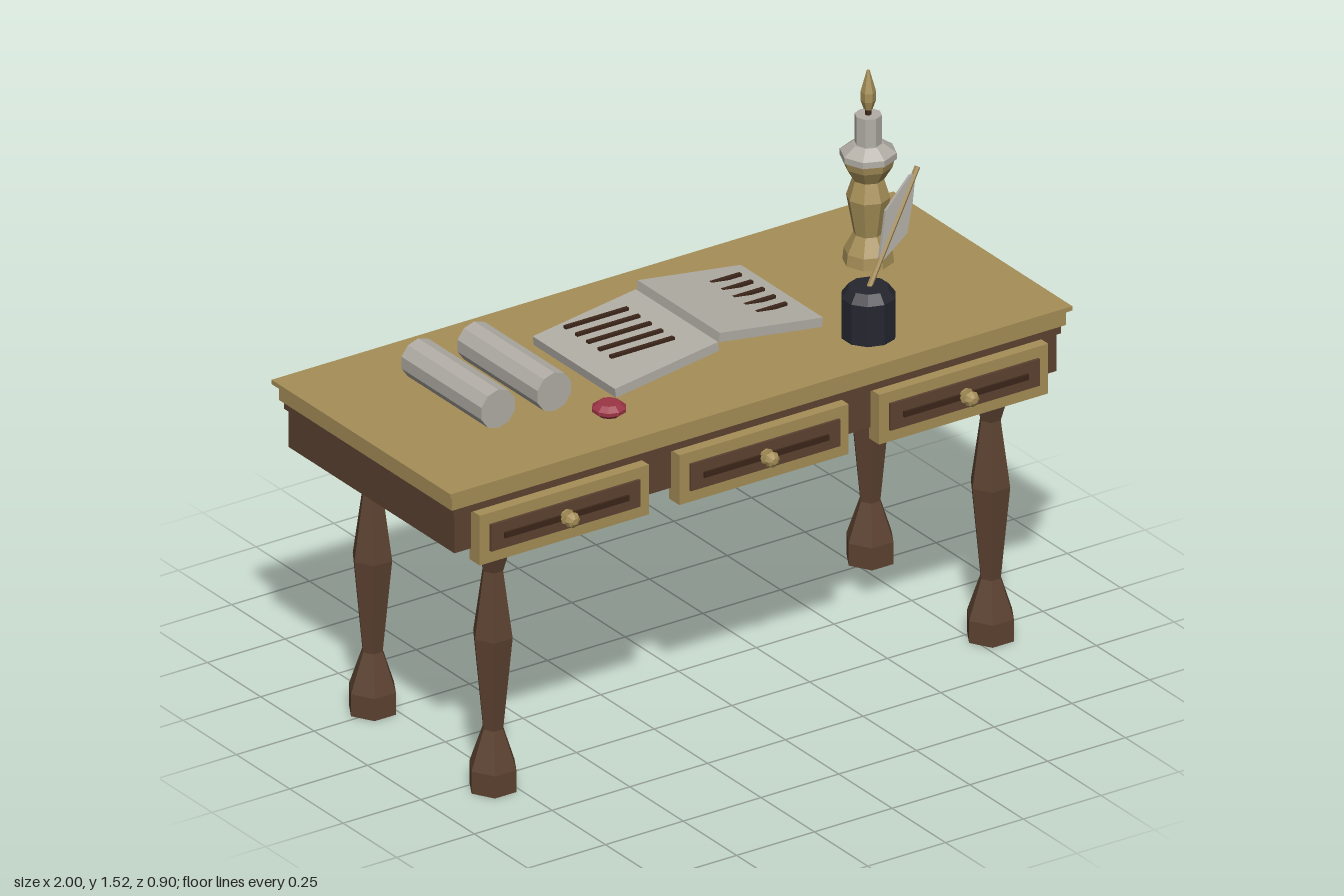
import * as THREE from 'three';

const mat = (name, color) => {
  const m = new THREE.MeshStandardMaterial({ color, flatShading: true });
  m.name = name;
  return m;
};

export function createModel() {
  const gold = mat('pale gold wood', 0xa68f58);
  const brown = mat('brown wood', 0x5c4231);
  const dark = mat('dark brown', 0x3c2619);
  const paper = mat('paper', 0xb2aea6);
  const ink = mat('ink black', 0x262630);
  const red = mat('sealing wax', 0x9c3546);

  const root = new THREE.Group();
  root.name = 'writingDesk';

  const add = (name, geo, material, x, y, z, parent = root) => {
    const m = new THREE.Mesh(geo, material);
    m.name = name;
    m.position.set(x, y, z);
    parent.add(m);
    return m;
  };
  // box given by its limits on each axis
  const box = (name, material, [x0, x1], [y0, y1], [z0, z1], parent) =>
    add(name, new THREE.BoxGeometry(x1 - x0, y1 - y0, z1 - z0), material,
      (x0 + x1) / 2, (y0 + y1) / 2, (z0 + z1) / 2, parent);
  // faceted turned shape, profile of [radius, height] from bottom to top, closed at both ends
  const turned = (profile, sides, start = 0) => {
    const pts = profile.map(([r, y]) => new THREE.Vector2(r, y));
    pts.unshift(new THREE.Vector2(0, profile[0][1]));
    pts.push(new THREE.Vector2(0, profile[profile.length - 1][1]));
    return new THREE.LatheGeometry(pts, sides, start);
  };

  // table top, trim and apron
  box('topLip', gold, [-1, 1], [0.944, 0.957], [-0.449, 0.388]);
  box('topBoard', gold, [-0.987, 0.987], [0.9, 0.944], [-0.433, 0.376]);
  box('topTrim', brown, [-0.977, 0.977], [0.875, 0.9], [-0.425, 0.368]);
  box('apron', brown, [-0.968, 0.968], [0.763, 0.875], [-0.417, 0.36]);

  // six-sided turned legs
  const legGeo = turned([[0.069, 0], [0.069, 0.065], [0.03, 0.178], [0.058, 0.452],
    [0.03, 0.645], [0.065, 0.765]], 6, Math.PI / 2);
  for (const x of [-0.8, 0.8])
    for (const z of [0.296, -0.268])
      add(z > 0 ? 'frontLeg' : 'backLeg', legGeo, brown, x, 0, z);

  // drawers with raised panel, dark inlay and knob
  const knobGeo = turned([[0.022, 0], [0.022, 0.006], [0.009, 0.008], [0.009, 0.018],
    [0.023, 0.027], [0.019, 0.037], [0.009, 0.043]], 8);
  knobGeo.rotateX(Math.PI / 2);
  for (const x of [-0.642, 0, 0.642]) {
    const drawer = new THREE.Group();
    drawer.name = 'drawer';
    drawer.position.x = x;
    root.add(drawer);
    box('drawerFront', gold, [-0.272, 0.272], [0.728, 0.875], [0.352, 0.4], drawer);
    box('drawerPanel', brown, [-0.24, 0.24], [0.763, 0.842], [0.38, 0.408], drawer);
    box('drawerInlay', dark, [-0.2, 0.2], [0.794, 0.81], [0.4, 0.415], drawer);
    add('knob', knobGeo, gold, 0, 0.802, 0.41, drawer);
  }

  // open book: two tilted page blocks with level lines of writing
  for (const s of [-1, 1]) {
    const page = add('bookPage', new THREE.BoxGeometry(0.335, 0.027, 0.385), paper,
      s * 0.167, s < 0 ? 1.013 : 1.038, -0.003);
    page.rotation.z = -s * 0.14;
    for (let i = 0; i < 5; i++)
      box('writingLine', dark, s < 0 ? [-0.283, -0.08] : [0.08, 0.283],
        [1.041, 1.049], [-0.127 + i * 0.0535, -0.115 + i * 0.0535]);
  }

  // rolled scrolls
  const scrollGeo = new THREE.CylinderGeometry(0.057, 0.057, 0.374, 10);
  scrollGeo.rotateX(Math.PI / 2);
  for (const x of [-0.695, -0.515]) add('scroll', scrollGeo, paper, x, 1.036, -0.019);

  // wax seal
  add('waxSeal', turned([[0.03, -0.018], [0.047, -0.005], [0.047, 0.005], [0.03, 0.018]], 10),
    red, -0.397, 0.99, 0.253);

  // ink pot
  add('inkPot', turned([[0.075, 0.957], [0.075, 1.075], [0.055, 1.102]], 10), ink, 0.457, 0, 0.224);

  // quill: shaft along local y with a thin diamond vane
  const quill = new THREE.Group();
  quill.name = 'quill';
  quill.position.set(0.46, 1.1, 0.225);
  quill.quaternion.setFromUnitVectors(new THREE.Vector3(0, 1, 0),
    new THREE.Vector3(0.168, 0.298, -0.021).normalize());
  root.add(quill);
  add('quillShaft', new THREE.CylinderGeometry(0.008, 0.008, 0.36, 6), gold, 0, 0.163, 0, quill);
  const vane = new THREE.Shape([[0, 0.06], [0.05, 0.165], [0.027, 0.25], [0, 0.325],
    [-0.015, 0.315], [-0.048, 0.205]].map(([x, y]) => new THREE.Vector2(x, y)));
  add('quillVane', new THREE.ExtrudeGeometry(vane, { depth: 0.008, bevelEnabled: false }),
    paper, 0, 0, -0.004, quill);

  // candlestick, drip pan, candle, wick and flame
  const candle = new THREE.Group();
  candle.name = 'candlestick';
  candle.position.set(0.711, 0, -0.147);
  root.add(candle);
  const part = (name, material, profile, sides = 8) =>
    add(name, turned(profile, sides), material, 0, 0, 0, candle);
  part('candleStem', gold, [[0.07, 0.957], [0.066, 0.99], [0.04, 1.04], [0.06, 1.147],
    [0.043, 1.2], [0.066, 1.238], [0.072, 1.265]]);
  part('dripPan', paper, [[0.077, 1.262], [0.077, 1.28], [0.042, 1.305]]);
  part('candleWax', paper, [[0.037, 1.3], [0.037, 1.388]]);
  part('wick', dark, [[0.009, 1.385], [0.009, 1.41]], 6);
  part('flame', gold, [[0.012, 1.404], [0.021, 1.43], [0.021, 1.455], [0.004, 1.518]], 6);

  return root;
}
